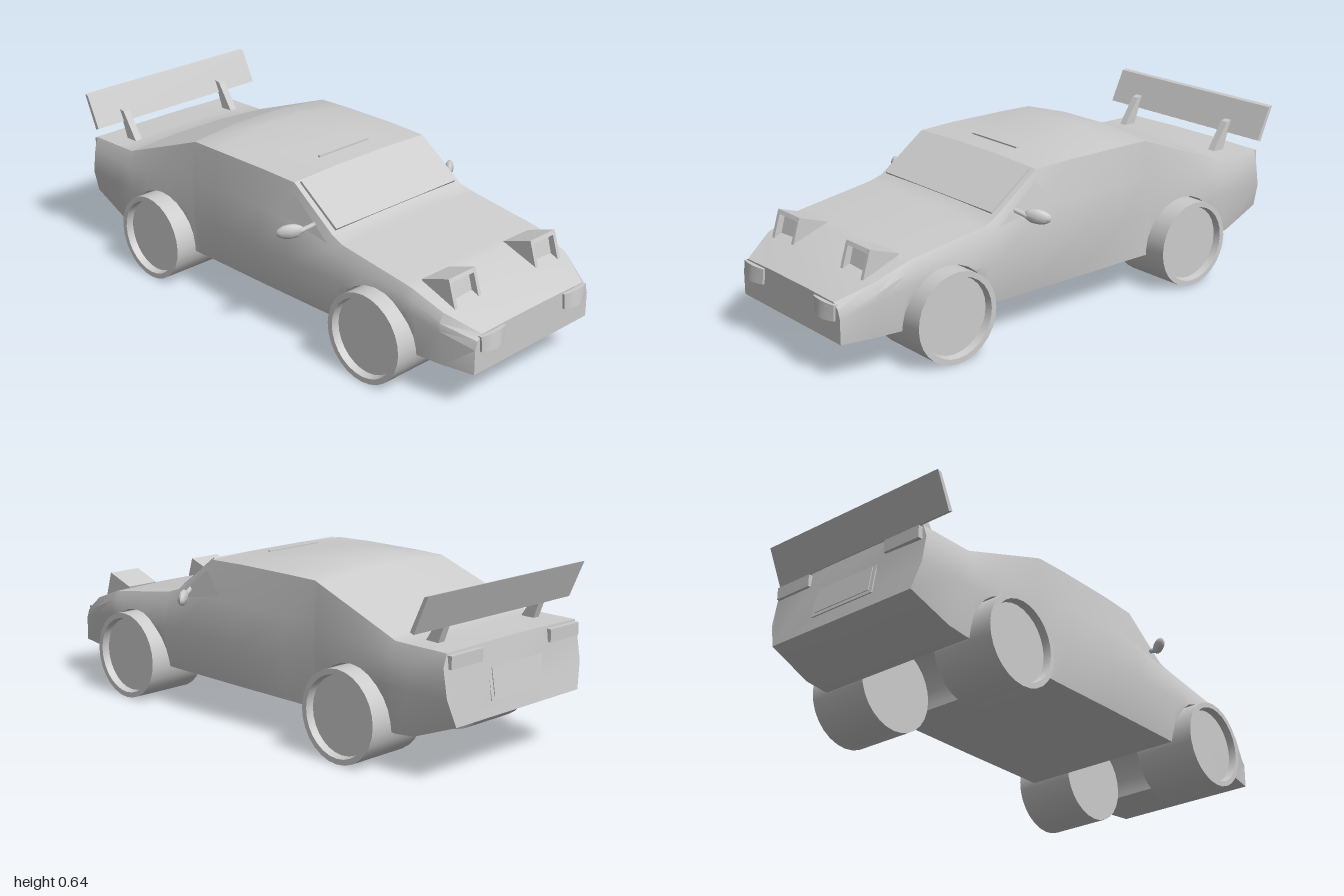
import * as THREE from 'three';
import { toCreasedNormals } from 'three/addons/utils/BufferGeometryUtils.js';

const mat = new THREE.MeshStandardMaterial({ color: 0xcccccc, side: THREE.DoubleSide });
const WHEEL_Z = [0.575, -0.56], WHEEL_R = 0.165, ARCH_R = 0.172;

// Body stations: z, floor y, then half width / height of sill, waist, belt, top edge, crown
const STATIONS = [
  [0.97, 0.14, 0.297, 0.297, 0.23, 0.287, 0.26, 0.265, 0.28, 0.283],
  [0.85, 0.14, 0.32, 0.337, 0.27, 0.337, 0.30, 0.323, 0.335, 0.345],
  [0.72, 0.14, 0.333, 0.355, 0.30, 0.35, 0.35, 0.335, 0.383, 0.39],
  [0.40, 0.14, 0.333, 0.364, 0.30, 0.35, 0.39, 0.335, 0.43, 0.437],
  [0.35, 0.14, 0.333, 0.366, 0.30, 0.35, 0.40, 0.33, 0.447, 0.455],
  [0.16, 0.14, 0.333, 0.368, 0.30, 0.35, 0.45, 0.328, 0.585, 0.592],
  [0.00, 0.14, 0.333, 0.366, 0.30, 0.35, 0.45, 0.33, 0.59, 0.605],
  [-0.24, 0.14, 0.33, 0.35, 0.30, 0.345, 0.45, 0.33, 0.59, 0.628],
  [-0.37, 0.14, 0.33, 0.338, 0.30, 0.338, 0.45, 0.327, 0.588, 0.608],
  [-0.75, 0.132, 0.33, 0.356, 0.30, 0.353, 0.39, 0.335, 0.447, 0.46],
  [-0.83, 0.14, 0.33, 0.356, 0.30, 0.353, 0.39, 0.335, 0.446, 0.455],
  [-0.975, 0.205, 0.32, 0.35, 0.30, 0.35, 0.40, 0.335, 0.445, 0.45],
];

function add(group, name, geometry, x = 0, y = 0, z = 0) {
  const mesh = new THREE.Mesh(geometry, mat);
  mesh.name = name;
  mesh.position.set(x, y, z);
  group.add(mesh);
  return mesh;
}

function stationAt(z) {
  let i = 0;
  while (i < STATIONS.length - 2 && z < STATIONS[i + 1][0]) i++;
  const a = STATIONS[i], b = STATIONS[i + 1];
  const t = (z - a[0]) / (b[0] - a[0]);
  return a.map((v, k) => v + (b[k] - v) * t);
}

function sideProfile(z) {
  const s = stationAt(z);
  return [[s[2], s[1]], [s[3], s[4]], [s[5], s[6]], [s[7], s[8]], [0.115, s[9]]];
}

// Half width of the body at a height
function widthAt(profile, y) {
  for (let i = 0; i < 3; i++) {
    const [x0, y0] = profile[i], [x1, y1] = profile[i + 1];
    if (y <= y1) return x0 + (x1 - x0) * Math.max(0, (y - y0) / (y1 - y0));
  }
  return profile[3][0];
}

// Closed ring; the floor rises to form the wheel tunnels
function ring(z, floor) {
  const p = sideProfile(z);
  const half = p.map(([x, y], i) => {
    if (y >= floor && i > 0) return [x, y];
    return [widthAt(p, floor), floor];
  });
  const all = [...half, ...half.slice().reverse().map(([x, y]) => [-x, y])];
  // The tail panel leans back towards the bottom
  return all.map(([x, y]) => [x, y, z < -0.97 ? -0.967 - Math.max(0, 0.4 - y) * 0.17 : z]);
}

function bodyGeometry() {
  const cuts = STATIONS.map(s => [s[0], s[1]])
    .filter(([z]) => WHEEL_Z.every(c => Math.abs(z - c) > ARCH_R));
  for (const c of WHEEL_Z) {
    cuts.push([c + ARCH_R, stationAt(c + ARCH_R)[1]]);
    for (let i = 0; i <= 12; i++) {
      const a = i * Math.PI / 12;
      cuts.push([c + ARCH_R * Math.cos(a), WHEEL_R + ARCH_R * Math.sin(a)]);
    }
    cuts.push([c - ARCH_R, stationAt(c - ARCH_R)[1]]);
  }
  cuts.sort((a, b) => b[0] - a[0]);
  const rings = cuts.map(([z, f]) => ring(z, f));
  const n = rings[0].length, index = [];
  for (let i = 0; i < rings.length - 1; i++) {
    for (let j = 0; j < n; j++) {
      const a = i * n + j, b = a + n, d = i * n + (j + 1) % n, c = d + n;
      index.push(a, b, c, a, c, d);
    }
  }
  const last = (rings.length - 1) * n;
  for (let j = 1; j < n - 1; j++) {
    index.push(0, j, j + 1, last, last + j + 1, last + j);
  }
  const g = new THREE.BufferGeometry();
  g.setAttribute('position', new THREE.Float32BufferAttribute(rings.flat(2), 3));
  g.setIndex(index);
  return toCreasedNormals(g, 0.4);
}

// Extrudes a [z, y] outline across the car, centred on x = 0
function across(points, width) {
  const shape = new THREE.Shape(points.map(([z, y]) => new THREE.Vector2(-z, y)));
  return new THREE.ExtrudeGeometry(shape, { depth: width, bevelEnabled: false })
    .translate(0, 0, -width / 2).rotateY(Math.PI / 2);
}

function wheelGeometry() {
  const outline = [[0, -0.1225], [0.165, -0.1225], [0.165, 0.1225], [0.145, 0.1225], [0.14, 0.095], [0, 0.095]];
  const g = new THREE.LatheGeometry(outline.map(([r, h]) => new THREE.Vector2(r, h)), 28);
  return toCreasedNormals(g.rotateZ(-Math.PI / 2), 0.5);
}

// Front lamp: trapezoid with a bowed face
function indicatorGeometry() {
  const g = new THREE.BoxGeometry(0.122, 0.058, 0.02, 6, 1, 1);
  const p = g.attributes.position;
  for (let i = 0; i < p.count; i++) {
    const x = p.getX(i), y = p.getY(i);
    if (y < 0) p.setX(i, x * 0.9);
    if (p.getZ(i) > 0) p.setZ(i, 0.006 + 0.015 * (1 - (x / 0.061) ** 2) * (y > 0 ? 0.5 : 1));
  }
  g.computeVertexNormals();
  return toCreasedNormals(g, 0.5);
}

function sideWindowGeometry(side) {
  const pts = [[0.34, 0.42], [0.175, 0.545], [0.09, 0.462]];
  const g = new THREE.BufferGeometry();
  const pos = pts.flatMap(([z, y]) => [side * (widthAt(sideProfile(z), y) + 0.004), y, z]);
  g.setAttribute('position', new THREE.Float32BufferAttribute(pos, 3));
  g.setIndex(side > 0 ? [0, 2, 1] : [0, 1, 2]);
  g.computeVertexNormals();
  return g;
}

export function createModel() {
  const car = new THREE.Group();
  car.name = 'car';
  const body = new THREE.Group();
  body.name = 'carBody';
  body.position.x = -0.0125;
  car.add(body);

  add(body, 'bodyShell', bodyGeometry());
  add(body, 'windscreen', new THREE.BoxGeometry(0.615, 0.012, 0.215), 0, 0.521, 0.256).rotation.x = 0.624;
  add(body, 'roofSlot', new THREE.BoxGeometry(0.25, 0.006, 0.01), 0, 0.601, 0.073);

  // Tail panel
  add(body, 'plateSurround', new THREE.BoxGeometry(0.28, 0.12, 0.012), 0, 0.315, -0.98).rotation.x = 0.17;
  add(body, 'plate', new THREE.BoxGeometry(0.25, 0.095, 0.012), 0, 0.315, -0.983).rotation.x = 0.17;

  for (const side of [1, -1]) {
    // Wheels
    WHEEL_Z.forEach((z, i) => {
      const wheel = add(body, i ? 'rearWheel' : 'frontWheel', wheelGeometry(), side * 0.29, WHEEL_R, z);
      if (side < 0) wheel.rotation.y = Math.PI;
    });

    // Pop-up headlights
    const lamp = new THREE.Group();
    lamp.name = 'headlight';
    lamp.position.x = side * 0.21;
    body.add(lamp);
    add(lamp, 'headlightLens', across([[0.835, 0.33], [0.812, 0.416], [0.72, 0.388], [0.72, 0.33]], 0.11));
    add(lamp, 'headlightLid', across([[0.836, 0.417], [0.83, 0.431], [0.715, 0.392], [0.72, 0.375]], 0.134));
    for (const s of [1, -1]) {
      add(lamp, 'headlightCheek', across([[0.862, 0.33], [0.832, 0.428], [0.72, 0.39], [0.72, 0.33]], 0.014), s * 0.06);
    }

    add(body, 'indicator', indicatorGeometry(), side * 0.216, 0.246, 0.972);
    add(body, 'tailLight', new THREE.BoxGeometry(0.155, 0.045, 0.025), side * 0.255, 0.416, -0.973);
    add(body, 'sideWindow', sideWindowGeometry(side));

    // Door mirrors
    const shell = new THREE.SphereGeometry(1, 8, 6).scale(0.05, 0.027, 0.017);
    const mirror = add(body, 'mirror', toCreasedNormals(shell, 0.7), side * 0.412, 0.447, 0.225);
    mirror.rotation.set(0, side * 0.65, side * -0.12);
    const stalk = new THREE.LineCurve3(
      new THREE.Vector3(side * 0.335, 0.465, 0.27), new THREE.Vector3(side * 0.39, 0.445, 0.245));
    add(body, 'mirrorStalk', new THREE.TubeGeometry(stalk, 1, 0.01, 6));

    // Spoiler struts
    add(body, 'spoilerStrut', across([[-0.81, 0.44], [-0.885, 0.555], [-0.91, 0.56], [-0.865, 0.44]], 0.03), side * 0.247);
  }

  // Spoiler blade
  add(car, 'spoilerBlade', across([[-0.887, 0.514], [-0.945, 0.636], [-0.961, 0.64], [-0.903, 0.508]], 0.806), 0.005);
  return car;
}
